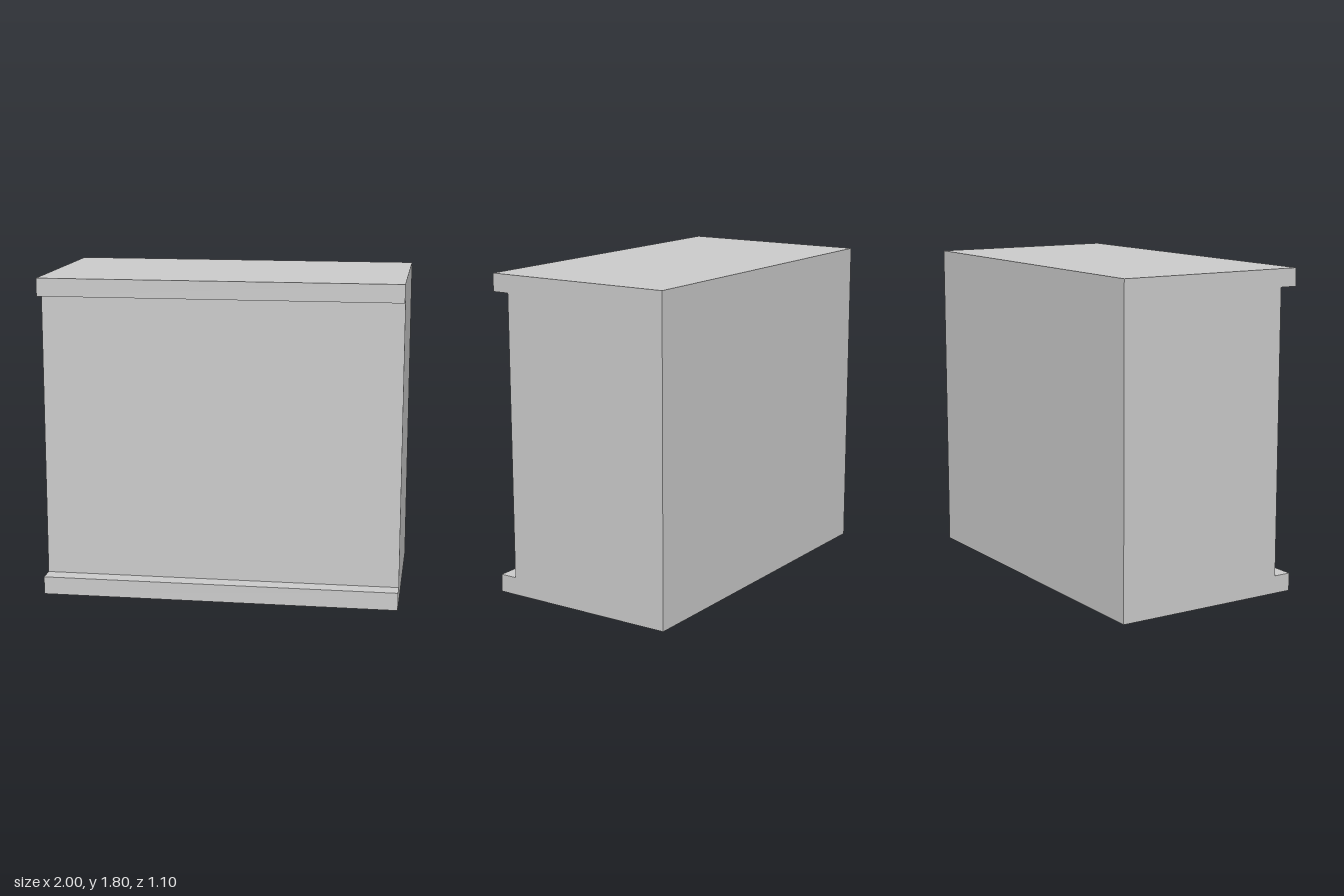
import * as THREE from 'three';

const WIDTH = 2, HEIGHT = 1.8, HALF_DEPTH = 0.55;
const LIP = 0.1; // height and overhang of the front lips

export function createModel() {
  const group = new THREE.Group();
  group.name = 'cabinet';

  // Side profile (z, y): a block with a lip along the top and bottom front edges
  const inset = HALF_DEPTH - LIP;
  const profile = new THREE.Shape([
    [-HALF_DEPTH, 0], [HALF_DEPTH, 0], [HALF_DEPTH, LIP], [inset, LIP],
    [inset, HEIGHT - LIP], [HALF_DEPTH, HEIGHT - LIP], [HALF_DEPTH, HEIGHT], [-HALF_DEPTH, HEIGHT],
  ].map(([z, y]) => new THREE.Vector2(z, y)));

  // Extrude across the width, then turn the profile to face +z
  const geometry = new THREE.ExtrudeGeometry(profile, { depth: WIDTH, bevelEnabled: false });
  geometry.translate(0, 0, -WIDTH / 2).rotateY(-Math.PI / 2);

  const body = new THREE.Mesh(
    geometry,
    new THREE.MeshStandardMaterial({ color: 0xcccccc, flatShading: true }),
  );
  body.name = 'lippedBody';
  group.add(body);
  return group;
}
